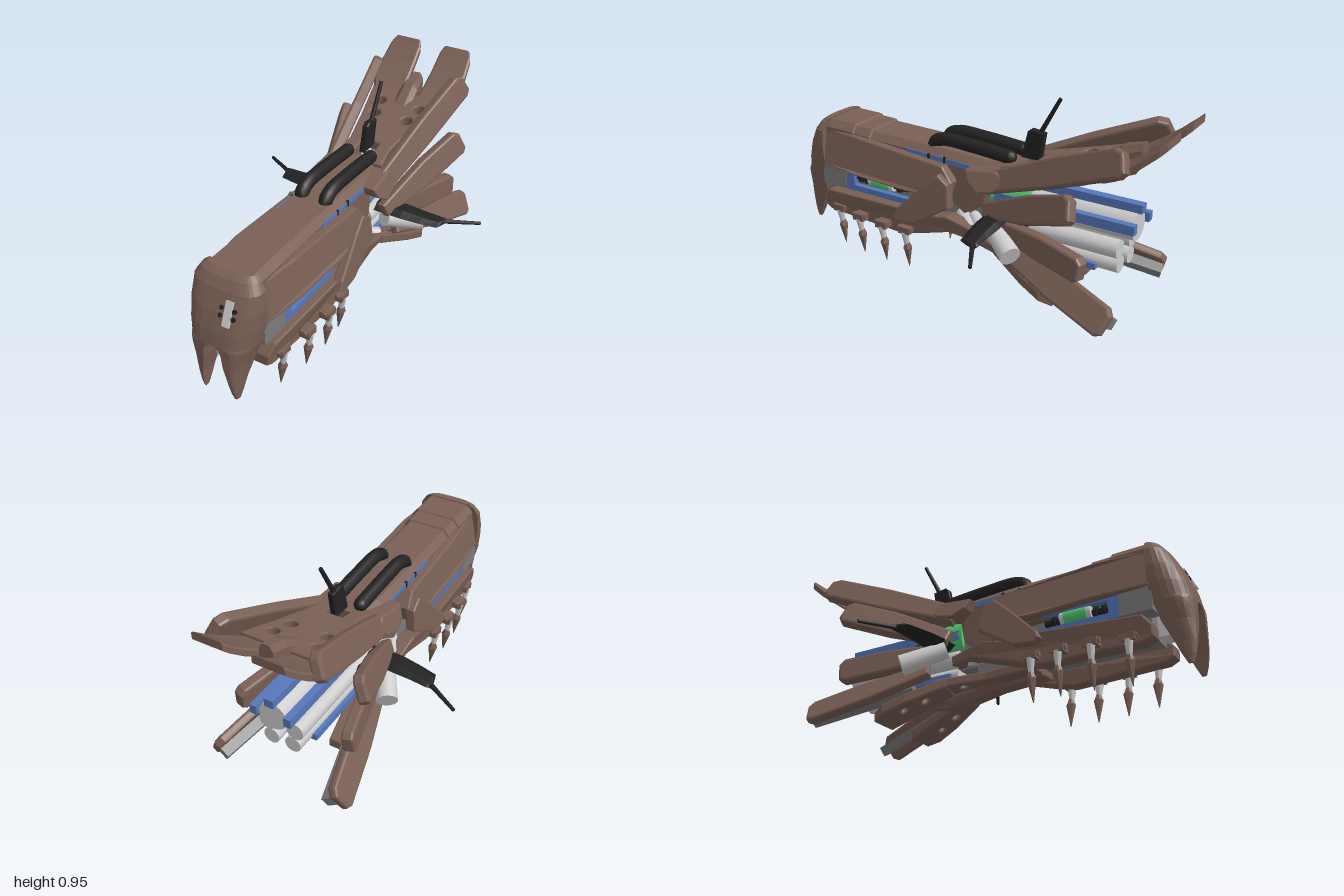
import * as THREE from 'three';

const mat = (color, flat = true) => new THREE.MeshStandardMaterial({ color, flatShading: flat });
const BROWN = mat(0x7a6055), BLACK = mat(0x222222, false), GRAY = mat(0xcccccc, false);
const STEEL = mat(0x7c7c7c), BLUE = mat(0x5577bb), GREEN = mat(0x55cc77, false);
const V = (p) => new THREE.Vector3(...p);

function mesh(name, geo, material, parent) {
  const m = new THREE.Mesh(geo, material);
  m.name = name;
  parent.add(m);
  return m;
}

function box(name, size, pos, material, parent) {
  const m = mesh(name, new THREE.BoxGeometry(...size), material, parent);
  m.position.set(...pos);
  return m;
}

// tapered cylinder between two points
function rod(name, a, b, r0, r1, material, parent, sides = 16) {
  const d = V(b).sub(V(a));
  const m = mesh(name, new THREE.CylinderGeometry(r1, r0, d.length(), sides), material, parent);
  m.position.copy(V(a)).addScaledVector(d, 0.5);
  m.quaternion.setFromUnitVectors(new THREE.Vector3(0, 1, 0), d.normalize());
  return m;
}

// closed solid through rings of equal point count, always facing outward
function loft(rings) {
  const tris = [], n = rings[0].length;
  for (let i = 0; i + 1 < rings.length; i++) for (let j = 0; j < n; j++) {
    const k = (j + 1) % n, a = rings[i][j], b = rings[i][k], c = rings[i + 1][k], d = rings[i + 1][j];
    tris.push([a, b, c], [a, c, d]);
  }
  const first = rings[0], last = rings[rings.length - 1];
  for (let j = 1; j + 1 < n; j++) tris.push([first[0], first[j + 1], first[j]], [last[0], last[j], last[j + 1]]);
  let vol = 0;
  for (const [a, b, c] of tris) vol += V(a).dot(V(b).cross(V(c)));
  if (vol < 0) tris.forEach((t) => t.reverse());
  const g = new THREE.BufferGeometry();
  g.setAttribute('position', new THREE.Float32BufferAttribute(tris.flat(2), 3));
  g.computeVertexNormals();
  return g;
}

function extrude(points, t, holes = [], bevel = 0.008) {
  const shape = new THREE.Shape(points.map((p) => new THREE.Vector2(...p)));
  for (const [x, y, r] of holes) shape.holes.push(new THREE.Path().absarc(x, y, r, 0, Math.PI * 2, true));
  return new THREE.ExtrudeGeometry(shape, {
    depth: t, curveSegments: 8, bevelSize: bevel, bevelThickness: bevel, bevelSegments: 2, bevelOffset: -bevel });
}

// move every vertex by a rule
function warp(g, rule) {
  const p = g.attributes.position, v = new THREE.Vector3();
  for (let i = 0; i < p.count; i++) {
    rule(v.fromBufferAttribute(p, i));
    p.setXYZ(i, v.x, v.y, v.z);
  }
  g.computeVertexNormals();
  return g;
}

// plate outlined in (z, y), thickened along x, leaning outward by k and drawn in near the face
const sidePlate = (pts, x, t, k = 0, yRef = 0.4) => warp(extrude(pts, t).rotateY(-Math.PI / 2).translate(x + t, 0, 0),
  (v) => { v.x += k * (yRef - v.y) - 0.11 * Math.max(0, v.z - 0.6); });

// plate outlined in (x, distance to the rear), sloped along its length
const flatPlate = (pts, t, y0, slope, holes) => warp(extrude(pts, t, holes).rotateX(-Math.PI / 2),
  (v) => { v.y += y0 - slope * v.z; });

// rounded horizontal arc from x = w at the back, round the front, up to angle a1
const arc = (y, x0, w, back, front, a1, n) => Array.from({ length: n + 1 }, (_, i) => {
  const a = (a1 * i) / n, c = Math.cos(a);
  return [x0 + (w - x0) * Math.sign(c) * Math.abs(c) ** 0.6, y, back + (front - back) * Math.abs(Math.sin(a)) ** 0.75];
});

// rounded blade from root to tip; across is the direction of its width
function fin(name, root, tip, across, w0, w1, t, parent) {
  const dir = V(tip).sub(V(root)), len = dir.length();
  dir.normalize();
  const w = V(across).addScaledVector(dir, -V(across).dot(dir)).normalize();
  const g = extrude([[0, -w0 / 2], [len * 0.55, -w1 * 0.52], [len * 0.95, -w1 / 2], [len, -w1 * 0.3],
    [len, w1 * 0.35], [len * 0.96, w1 / 2], [len * 0.5, w1 * 0.5], [0, w0 / 2]], t, [], 0.012);
  g.translate(0, 0, -t / 2);
  g.applyMatrix4(new THREE.Matrix4().makeBasis(dir, w, dir.clone().cross(w)).setPosition(...root));
  return mesh(name, g, BROWN, parent);
}

function buildSide(side) {
  // mouth tusk, arching over the mouth at its top: height, inner x, outer x, back, front
  const tusk = [[0.372, 0.012, 0.152, 0.84, 1], [0.358, 0.034, 0.15, 0.842, 1], [0.33, 0.044, 0.141, 0.85, 1], [0.27, 0.049, 0.122, 0.865, 1],
    [0.18, 0.066, 0.103, 0.905, 0.995], [0.12, 0.072, 0.096, 0.93, 0.985], [0.08, 0.076, 0.09, 0.95, 0.972]];
  mesh('tusk', loft(tusk.map(([y, i, o, b, f]) => [[i, y, b], ...arc(y, i, o, b, f, Math.PI / 2, 6)])), BROWN, side);

  // flank armour
  mesh('upperArmour', sidePlate([[0.84, 0.43], [0.84, 0.6], [0.82, 0.615], [0.6, 0.61], [0.1, 0.57], [0.04, 0.5], [0.06, 0.42], [0.3, 0.41], [0.6, 0.42]],
    0.125, 0.045, 0.2, 0.5), BROWN, side);
  mesh('jawArmour', sidePlate([[0.8, 0.3], [0.84, 0.25], [0.84, 0.2], [0.8, 0.18], [0.34, 0.17], [0.22, 0.2], [0, 0.27], [-0.12, 0.26], [-0.12, 0.3], [0.05, 0.34], [0.2, 0.31], [0.35, 0.32]],
    0.125, 0.06, -0.15, 0.25), BROWN, side);
  mesh('shoulderPlate', sidePlate([[0.35, 0.28], [0.33, 0.32], [0.17, 0.48], [0.1, 0.54], [0.04, 0.5], [0.03, 0.39], [0.22, 0.27], [0.32, 0.26]],
    0.175, 0.035, 0.1), BROWN, side);
  mesh('hipBlock', sidePlate([[-0.04, 0.59], [-0.2, 0.61], [-0.27, 0.57], [-0.2, 0.52], [-0.12, 0.5], [-0.06, 0.54]], 0.1, 0.085, 0.4, 0.55), BROWN, side);
  box('topRail', [0.03, 0.025, 0.37], [0.11, 0.585, 0.145], BLUE, side).rotation.x = -0.04;
  for (const z of [0.2, 0.11]) box('railClip', [0.03, 0.03, 0.012], [0.112, 0.587, z], BLACK, side);

  // machinery in the side opening
  box('frameTop', [0.03, 0.018, 0.4], [0.14, 0.42, 0.5], BLUE, side);
  box('frameBottom', [0.03, 0.03, 0.4], [0.14, 0.335, 0.5], BLUE, side);
  box('frameFront', [0.03, 0.1, 0.05], [0.14, 0.375, 0.67], BLUE, side);
  box('cheekBlock', [0.085, 0.11, 0.15], [0.115, 0.375, 0.77], STEEL, side);
  rod('axle', [0.12, 0.385, 0.33], [0.12, 0.385, 0.65], 0.015, 0.015, BLACK, side);
  rod('motor', [0.12, 0.39, 0.43], [0.12, 0.39, 0.54], 0.036, 0.036, GREEN, side);
  for (const z of [0.37, 0.57, 0.61]) rod('collar', [0.12, 0.385, z], [0.12, 0.385, z + 0.015], 0.026, 0.026, BLACK, side);
  for (const z of [0.41, 0.54]) rod('motorCap', [0.12, 0.39, z], [0.12, 0.39, z + 0.02], 0.033, 0.033, GRAY, side);

  // clawed legs
  for (const [x, z] of [[0.18, 0.735], [0.215, 0.58], [0.225, 0.43], [0.215, 0.295]]) {
    const leg = new THREE.Group();
    leg.name = 'leg';
    side.add(leg);
    box('legMount', [0.05, 0.035, 0.065], [x - 0.02, 0.21, z], BROWN, leg);
    rod('legPin', [x - 0.015, 0.215, z - 0.04], [x - 0.015, 0.215, z + 0.04], 0.014, 0.014, BROWN, leg, 8);
    rod('legStrut', [x - 0.01, 0.2, z], [x - 0.02, 0.11, z - 0.005], 0.02, 0.01, GRAY, leg, 8);
    rod('clawCuff', [x - 0.018, 0.14, z - 0.005], [x - 0.021, 0.11, z - 0.005], 0.013, 0.023, BROWN, leg, 6);
    rod('claw', [x - 0.021, 0.112, z - 0.005], [x - 0.035, 0.002, z - 0.003], 0.023, 0.002, BROWN, leg, 6);
  }

  // rear fan of fins
  fin('upperFin', [0.14, 0.53, -0.13], [0.247, 0.82, -0.85], [0.38, -1, 0], 0.1, 0.13, 0.03, side);
  fin('middleFin', [0.17, 0.41, -0.15], [0.332, 0.6, -0.665], [0.35, -1, 0], 0.07, 0.13, 0.03, side);
  fin('lowerFin', [0.16, 0.36, -0.2], [0.285, 0.305, -0.7], [0.1, -1, 0], 0.06, 0.115, 0.035, side);
  fin('bottomFin', [0.18, 0.265, -0.25], [0.324, 0.11, -0.845], [0.5, -0.85, 0], 0.09, 0.14, 0.02, side);
  rod('finBeam', [0.16, 0.2, -0.35], [0.28, 0.095, -0.848], 0.036, 0.036, STEEL, side, 4);

  // upswept crest lobe: z, underside height, inner x, outer x
  const lobe = [[-0.68, 0.672, 0.04, 0.17], [-0.74, 0.69, 0.042, 0.205], [-0.81, 0.73, 0.048, 0.246], [-0.9, 0.795, 0.053, 0.24], [-0.975, 0.86, 0.057, 0.23], [-1, 0.885, 0.067, 0.215]];
  mesh('crestLobe', loft(lobe.map(([z, y, i, o]) => [[i, y, z], [i, y + 0.03, z], [i + 0.01, y + 0.04, z], [o - 0.01, y + 0.04, z], [o, y + 0.03, z], [o, y, z]])), BROWN, side);
  mesh('bellyLobe', flatPlate([[0.04, 0.2], [0.15, 0.18], [0.22, 0.36], [0.245, 0.47], [0.22, 0.53], [0.08, 0.53]], 0.035, 0.257, -0.38, [[0.13, 0.3, 0.022], [0.16, 0.4, 0.02]]), BROWN, side);

  // swept side gun: x, front z, rear z, mid height, half thickness
  const wing = [[0.12, -0.15, -0.27, 0.395, 0.026], [0.26, -0.155, -0.28, 0.39, 0.024], [0.36, -0.17, -0.28, 0.385, 0.018], [0.44, -0.187, -0.285, 0.381, 0.013], [0.455, -0.235, -0.28, 0.38, 0.01]];
  mesh('gunWing', loft(wing.map(([x, f, r, y, h]) => [[x, y, f], [x, y + h, f * 0.7 + r * 0.3], [x, y + h, f * 0.2 + r * 0.8], [x, y, r],
    [x, y - h, f * 0.2 + r * 0.8], [x, y - h, f * 0.7 + r * 0.3]])), BLACK, side);
  rod('gunBarrel', [0.42, 0.382, -0.24], [0.605, 0.37, -0.345], 0.012, 0.008, BLACK, side, 10);
  mesh('gunJoint', new THREE.SphereGeometry(0.035, 12, 8), BLACK, side).position.set(0.15, 0.39, -0.33);

  // thrusters and exhaust tubes
  rod('thruster', [0.17, 0.355, -0.17], [0.278, 0.275, -0.345], 0.042, 0.05, GRAY, side, 20);
  for (const z of [-0.02, -0.09]) rod('sideNozzle', [0.08, 0.32, z + 0.06], [0.16, 0.285, z - 0.04], 0.03, 0.03, GRAY, side);
  rod('upperExhaust', [0.07, 0.34, -0.15], [0.07, 0.34, -0.775], 0.043, 0.043, GRAY, side);
  rod('lowerExhaust', [0.055, 0.26, -0.15], [0.055, 0.26, -0.775], 0.04, 0.04, GRAY, side);
  box('exhaustBeam', [0.035, 0.045, 0.7], [0.085, 0.455, -0.495], BLUE, side);
  box('lowerBeam', [0.03, 0.03, 0.5], [0.1, 0.245, -0.43], BLUE, side);

  // hose along the back
  const path = new THREE.CatmullRomCurve3([[0.063, 0.61, 0.21], [0.063, 0.645, 0.2], [0.063, 0.667, 0.15], [0.063, 0.665, 0], [0.063, 0.65, -0.21]].map(V));
  mesh('backHose', new THREE.TubeGeometry(path, 24, 0.033, 12), BLACK, side);
  mesh('hoseEnd', new THREE.SphereGeometry(0.033, 12, 8), BLACK, side).position.set(0.063, 0.65, -0.21);
}

export function createModel() {
  const model = new THREE.Group();
  model.name = 'beastShip';
  for (const s of [1, -1]) {
    const side = new THREE.Group();
    side.name = s > 0 ? 'leftSide' : 'rightSide';
    side.scale.x = s;
    buildSide(side);
    model.add(side);
  }

  // upper hull with stepped bands: z, top height, half width, bottom height
  const hull = [[0.86, 0.645, 0.125, 0.43], [0.82, 0.66, 0.135, 0.43], [0.66, 0.657, 0.135, 0.43], [0.655, 0.65, 0.128, 0.43], [0.56, 0.648, 0.128, 0.43],
    [0.555, 0.64, 0.122, 0.43], [0.1, 0.63, 0.122, 0.41], [0, 0.625, 0.122, 0.34], [-0.1, 0.62, 0.12, 0.4], [-0.13, 0.62, 0.115, 0.53], [-0.25, 0.62, 0.1, 0.56]];
  mesh('hull', loft(hull.map(([z, t, w, b]) => [[-w, b, z], [-w, t - 0.035, z], [-w + 0.03, t, z], [w - 0.03, t, z], [w, t - 0.035, z], [w, b, z]])), BROWN, model);
  box('innerCore', [0.16, 0.2, 0.86], [0, 0.34, 0.38], STEEL, model);
  box('snout', [0.085, 0.14, 0.1], [0, 0.31, 0.87], GRAY, model);

  // face mask: height, half width, back, front
  const mask = [[0.664, 0.115, 0.82, 0.86], [0.645, 0.14, 0.825, 0.885], [0.605, 0.165, 0.83, 0.915], [0.52, 0.17, 0.83, 0.957], [0.44, 0.164, 0.83, 0.985], [0.37, 0.152, 0.84, 1]];
  mesh('faceMask', loft(mask.map(([y, w, b, f]) => arc(y, 0, w, b, f, Math.PI, 16))), BROWN, model);
  const face = new THREE.Group();
  face.name = 'facePanel';
  face.position.set(0.062, 0.53, 0.951);
  face.rotation.x = -0.43;
  model.add(face);
  box('sensorPlate', [0.035, 0.11, 0.01], [0, 0, 0], GRAY, face);
  for (const x of [-0.034, 0.028]) for (const y of [-0.015, 0.018]) rod('eye', [x, y, -0.015], [x, y, 0.004], 0.01, 0.01, BLACK, face, 10);

  // crest with holes and a notch behind the hull
  const sym = (h) => [...h, ...h.map(([x, d]) => [-x, d]).reverse()];
  const pits = [[0.09, 0.535, 0.03], [-0.09, 0.535, 0.03], [0.11, 0.635, 0.03], [-0.11, 0.635, 0.03]];
  mesh('crest', flatPlate(sym([[0.045, 0.34], [0.05, 0.2], [0.13, 0.2], [0.115, 0.32], [0.15, 0.5], [0.205, 0.73], [0.04, 0.73]]), 0.035, 0.54, 0.22, pits), BROWN, model);
  mesh('crestRidge', loft([[-0.6, 0.68, 0.7, 0.05], [-0.74, 0.69, 0.8, 0.045], [-0.83, 0.74, 0.825, 0.035]].map(
    ([z, b, t, w]) => [[-w, b, z], [-w, t - 0.03, z], [-w / 2, t, z], [w / 2, t, z], [w, t - 0.03, z], [w, b, z]])), BROWN, model);

  // belly plate and keel
  mesh('bellyPlate', flatPlate(sym([[0.09, -0.25], [0.1, 0], [0.16, 0.24], [0.04, 0.27]]), 0.03, 0.2, -0.05, [[0.08, 0.12, 0.022], [-0.08, 0.12, 0.022]]), BROWN, model);
  mesh('keel', loft([[0.25, 0.2, 0.02], [0, 0.165, 0.05], [-0.25, 0.125, 0.045], [-0.36, 0.15, 0.03]].map(
    ([z, b, w]) => [[-w, 0.22, z], [-w, b + 0.03, z], [-w / 2, b, z], [w / 2, b, z], [w, b + 0.03, z], [w, 0.22, z]])), BROWN, model);

  // reactor and main exhaust
  box('rearFrame', [0.15, 0.26, 0.2], [0, 0.41, -0.08], STEEL, model);
  rod('reactor', [0, 0.46, -0.13], [0, 0.46, -0.32], 0.105, 0.09, GREEN, model, 24);
  rod('mainExhaust', [0, 0.44, -0.2], [0, 0.44, -0.825], 0.07, 0.07, GRAY, model, 20);
  box('topBeam', [0.045, 0.04, 0.64], [0, 0.525, -0.525], BLUE, model);

  // dorsal mast
  mesh('mastBase', sidePlate([[-0.24, 0.64], [-0.27, 0.77], [-0.29, 0.785], [-0.36, 0.775], [-0.34, 0.64]], -0.009, 0.018), BLACK, model);
  rod('mast', [0, 0.75, -0.32], [0, 0.945, -0.425], 0.012, 0.009, BLACK, model, 10);
  return model;
}
